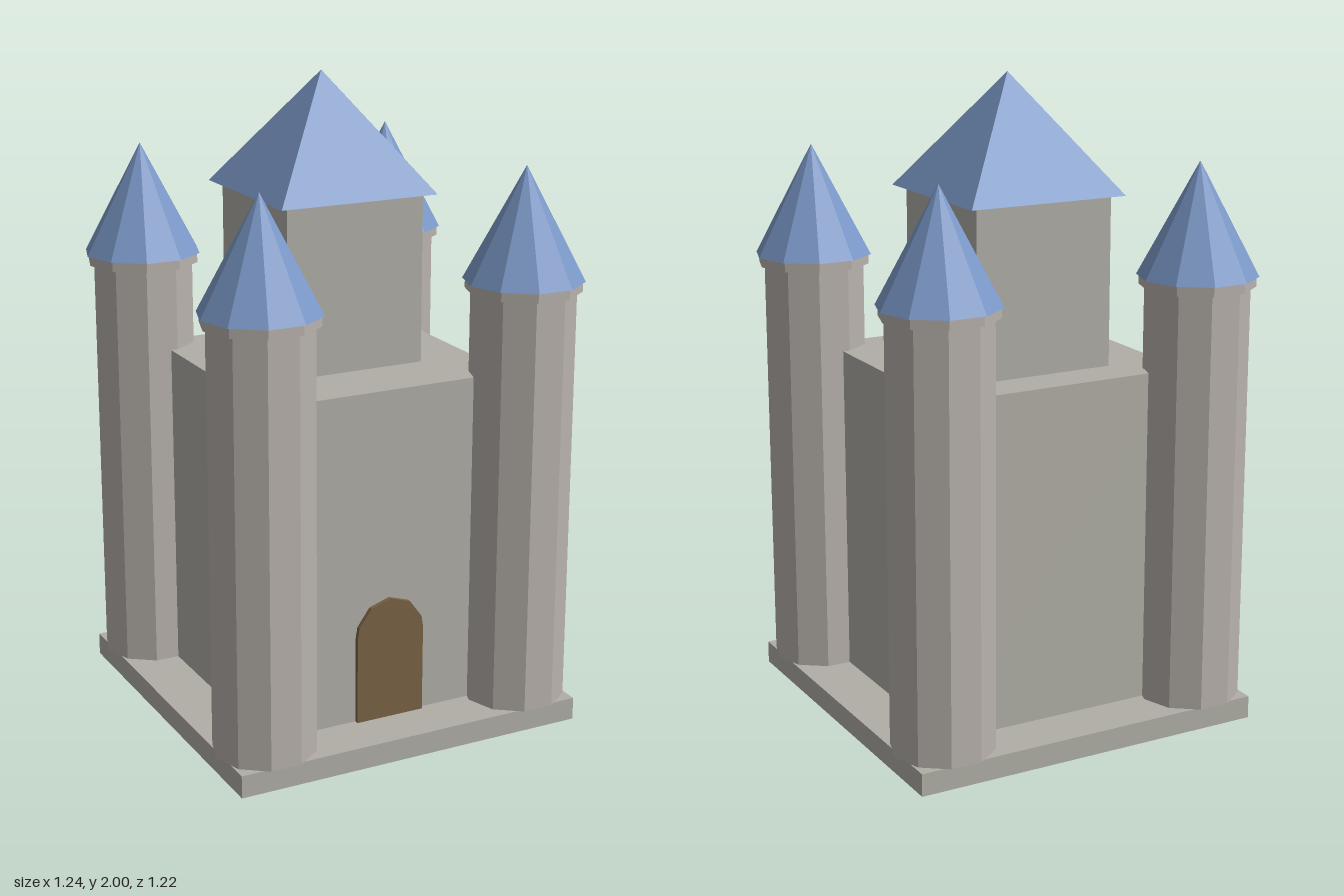
import * as THREE from 'three';

const flat = (name, color) => {
  const m = new THREE.MeshStandardMaterial({ color, flatShading: true });
  m.name = name;
  return m;
};

export function createModel() {
  const stone = flat('wall stone', 0xb0aea6);
  const towerStone = flat('tower stone', 0xb8b2ac);
  const slate = flat('blue roof', 0x7b98c8);
  const wood = flat('door wood', 0x7a6245);

  const castle = new THREE.Group();
  castle.name = 'castle';

  const add = (parent, name, geometry, material, x, y, z) => {
    const mesh = new THREE.Mesh(geometry, material);
    mesh.name = name;
    mesh.position.set(x, y, z);
    parent.add(mesh);
    return mesh;
  };
  // Box standing on y0, reaching up to y1
  const block = (name, w, d, y0, y1, z, material) =>
    add(castle, name, new THREE.BoxGeometry(w, y1 - y0, d), material, 0, (y0 + y1) / 2, z);

  const floorY = 0.071;

  // Base slab, keep and upper keep
  block('baseSlab', 1.146, 1.146, 0, floorY, 0, stone);
  block('keep', 0.814, 0.814, floorY, 1.117, 0, stone);
  block('upperKeep', 0.455, 0.455, 1.117, 1.642, -0.043, stone);

  // Pyramid roof with sides parallel to the walls
  const pyramid = new THREE.ConeGeometry(0.26 * Math.SQRT2, 0.358, 4).rotateY(Math.PI / 4);
  add(castle, 'keepRoof', pyramid, slate, 0, 1.821, -0.043);

  // Ten-sided corner towers, each with a corner pointing sideways
  const sides = 10;
  const drum = (r, rTop, y0, y1) =>
    new THREE.CylinderGeometry(rTop, r, y1 - y0, sides)
      .rotateY(Math.PI / 2)
      .translate(0, (y0 + y1) / 2, 0);
  const shaft = drum(0.159, 0.159, floorY, 1.378);
  const collar = drum(0.176, 0.176, 1.378, 1.408);
  const spire = drum(0.184, 0, 1.408, 1.753);
  for (const [sz, row] of [[1, 'front'], [-1, 'back']]) {
    for (const [sx, side] of [[1, 'Left'], [-1, 'Right']]) {
      const tower = new THREE.Group();
      tower.name = `${row}${side}Tower`;
      tower.position.set(sx * 0.434, 0, sz * 0.434);
      add(tower, 'shaft', shaft, towerStone, 0, 0, 0);
      add(tower, 'collar', collar, towerStone, 0, 0, 0);
      add(tower, 'spire', spire, slate, 0, 0, 0);
      castle.add(tower);
    }
  }

  // Arched door: straight sides, then half a ten-sided round
  const r = 0.113, springY = 0.348;
  const arch = new THREE.Shape();
  arch.moveTo(-r, floorY);
  arch.lineTo(r, floorY);
  arch.lineTo(r, springY);
  for (let i = -2; i <= 2; i++) {
    const a = (i * Math.PI * 2) / sides;
    arch.lineTo(-r * Math.sin(a), springY + r * Math.cos(a));
  }
  arch.lineTo(-r, springY);
  arch.closePath();
  const door = new THREE.ExtrudeGeometry(arch, { depth: 0.022, bevelEnabled: false });
  add(castle, 'door', door, wood, 0, 0, 0.399);

  return castle;
}
